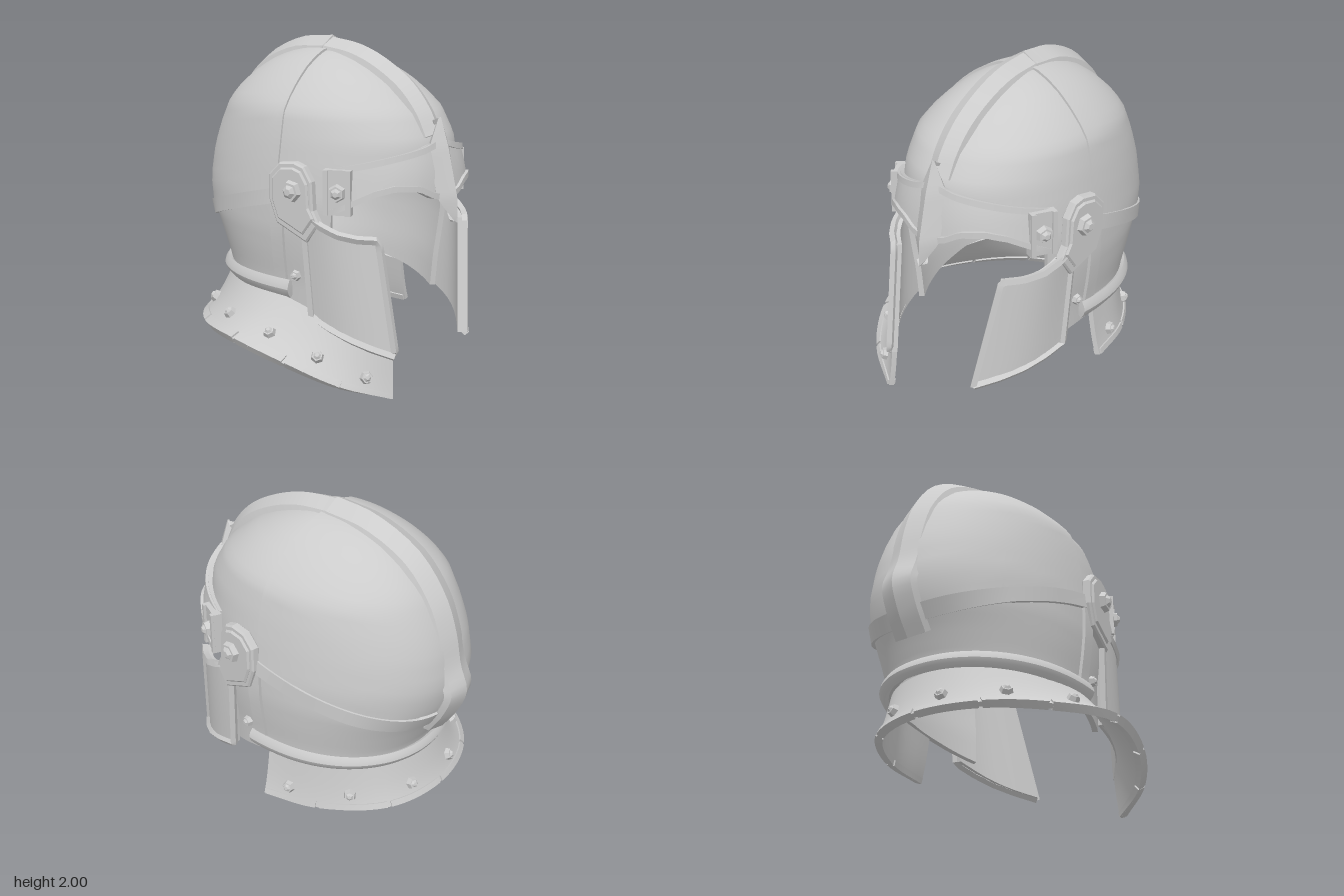
import * as THREE from 'three';
import { toCreasedNormals } from 'three/addons/utils/BufferGeometryUtils.js';

const CX = 0.09; // middle plane of the helmet
const V = (x, y, z) => new THREE.Vector3(x, y, z);
const rad = THREE.MathUtils.degToRad;
const mat = new THREE.MeshStandardMaterial({ color: 0xcccccc, side: THREE.DoubleSide });

// linear lookup in rows sorted by their first value; returns column k
function look(rows, t, k = 1) {
  if (t <= rows[0][0]) return rows[0][k];
  for (let i = 1; i < rows.length; i++) {
    const a = rows[i - 1], b = rows[i];
    if (t <= b[0]) return a[k] + (b[k] - a[k]) * (t - a[0]) / (b[0] - a[0]);
  }
  return rows[rows.length - 1][k];
}

function normalAt(f, u, v) {
  const e = 0.001, c = THREE.MathUtils.clamp;
  u = c(u, 2 * e, 1 - 2 * e); v = c(v, 2 * e, 1 - 2 * e);
  const du = f(u + e, v).sub(f(u - e, v)), dv = f(u, v + e).sub(f(u, v - e));
  return du.cross(dv).normalize();
}

function mesh(group, name, geo) {
  const m = new THREE.Mesh(geo, mat);
  m.name = name;
  group.add(m);
  return m;
}

// thick curved plate over f(u, v), with closed edges
function plate(group, name, f, nu, nv, t, crease = 0.5) {
  const pos = [], idx = [], n = (nu + 1) * (nv + 1);
  for (const d of [0, t]) for (let j = 0; j <= nv; j++) for (let i = 0; i <= nu; i++) {
    const u = i / nu, v = j / nv;
    const p = f(u, v).addScaledVector(normalAt(f, u, v), -d);
    pos.push(p.x, p.y, p.z);
  }
  const id = (i, j) => j * (nu + 1) + i;
  const quad = (a, b, c, d) => idx.push(a, b, c, a, c, d);
  for (let j = 0; j < nv; j++) for (let i = 0; i < nu; i++) {
    const a = id(i, j), b = id(i + 1, j), c = id(i + 1, j + 1), d = id(i, j + 1);
    quad(a, b, c, d);
    quad(n + a, n + d, n + c, n + b);
  }
  const wall = (a, b) => quad(a, n + a, n + b, b);
  for (let i = 0; i < nu; i++) { wall(id(i, 0), id(i + 1, 0)); wall(id(i + 1, nv), id(i, nv)); }
  for (let j = 0; j < nv; j++) { wall(id(nu, j), id(nu, j + 1)); wall(id(0, j + 1), id(0, j)); }
  const g = new THREE.BufferGeometry();
  g.setAttribute('position', new THREE.Float32BufferAttribute(pos, 3));
  g.setIndex(idx);
  return mesh(group, name, toCreasedNormals(g, crease));
}

// skull section: height, half width, front depth, back depth
const skull = [
  [0.40, 0.56, 0.72, 0.66], [0.62, 0.575, 0.74, 0.69], [0.78, 0.60, 0.76, 0.76], [0.92, 0.615, 0.78, 0.84],
  [1.10, 0.615, 0.79, 0.87], [1.30, 0.59, 0.79, 0.84], [1.45, 0.565, 0.77, 0.785], [1.60, 0.53, 0.68, 0.71],
  [1.68, 0.47, 0.59, 0.64], [1.76, 0.39, 0.49, 0.55], [1.83, 0.30, 0.36, 0.44], [1.88, 0.21, 0.24, 0.32],
  [1.915, 0.12, 0.12, 0.18], [1.93, 0, 0, 0]];

// point on the skull: angle in degrees from the front towards +x, height, offset
function S(a, y, off = 0) {
  const s = Math.sin(rad(a)), c = Math.cos(rad(a)), p = q => Math.sign(q) * Math.abs(q) ** 0.94;
  const lift = off * Math.max(0, (y - 1.5) / 0.43);
  return V(CX + (look(skull, y) + off) * p(s), y + lift, (look(skull, y, c > 0 ? 2 : 3) + off) * p(c));
}
const band = (a0, a1, lo, hi, off) => (u, v) => {
  const a = a0 + (a1 - a0) * u;
  return S(a, lo(a) + (hi(a) - lo(a)) * v, typeof off === 'number' ? off : off(v));
};

// faceted bolt standing on a surface
function bolt(group, name, p, n, r, h) {
  const g = new THREE.Group();
  g.name = name;
  mesh(g, 'boltHead', toCreasedNormals(new THREE.CylinderGeometry(r * 0.8, r, h, 6), 0.3)).position.y = h / 2;
  mesh(g, 'boltTip', toCreasedNormals(new THREE.CylinderGeometry(r * 0.3, r * 0.6, h * 0.4, 6), 0.3)).position.y = h * 1.2;
  g.position.copy(p);
  g.quaternion.setFromUnitVectors(V(0, 1, 0), n);
  group.add(g);
}

function trim(group, name, pts, r) {
  const path = new THREE.CurvePath();
  for (let i = 1; i < pts.length; i++) path.add(new THREE.LineCurve3(pts[i - 1], pts[i]));
  mesh(group, name, toCreasedNormals(new THREE.TubeGeometry(path, (pts.length - 1) * 4, r, 4), 0.5));
}

export function createModel() {
  const model = new THREE.Group();
  model.name = 'helmet';

  // skull cap, and the lower wall that leaves the face open
  const dome = (a0, a1, lo, off) => (u, v) => {
    const a = a0 + (a1 - a0) * u, b = lo(a);
    return S(a, b + (1.93 - b) * Math.sin(v * Math.PI / 2), off);
  };
  const beltTop = a => 1.15 + 0.25 * Math.cos(rad(a));
  plate(model, 'skullCap', dome(-180, 180, () => 1.2, 0), 96, 24, 0.035);
  plate(model, 'rearSkull', dome(84, 276, a => beltTop(a) - 0.03, 0.012), 60, 22, 0.03);
  const wallLow = a => look([[0, 0.58], [80, 0.54], [100, 0.49], [124, 0.42]], Math.abs(180 - a));
  plate(model, 'lowerWall', band(57, 303, wallLow, () => 1.21, 0), 80, 14, 0.035);

  // belt, side straps and rolled neck rim
  plate(model, 'belt', band(84, 276, a => beltTop(a) - 0.09, beltTop, 0.024), 64, 1, 0.035);
  for (const s of [1, -1]) {
    plate(model, 'sideStrap', band(s * 83 - 3, s * 83 + 3, () => 0.56, () => 1.13, 0.02), 2, 8, 0.03);
    bolt(model, 'strapRivet', S(s * 75, 0.66, 0), V(s, 0, 0.25).normalize(), 0.035, 0.03);
  }
  const roll = v => 0.02 + 0.03 * Math.sin(v * Math.PI);
  plate(model, 'neckRim', band(78, 282, a => 0.52 - 0.02 * Math.cos(rad(a)), () => 0.63, roll), 64, 4, 0.06);

  // two-piece crest over the top; depth fades from d0 to d1 along it
  const crest = (name, pts, h0, h1, d0, d1) => {
    const curve = new THREE.CatmullRomCurve3(pts.map(([z, y]) => V(CX, y, z)));
    const across = [[0, -1, 1], [0.25, -0.85, 0.5], [0.5, 0, 0], [0.75, 0.85, 0.5], [1, 1, 1]];
    plate(model, name, (u, v) => {
      const t = curve.getTangent(v), p = curve.getPoint(v), n = V(0, -t.z, t.y);
      p.x += look(across, u) * (h0 + (h1 - h0) * v);
      return p.addScaledVector(n, -(d0 + (d1 - d0) * v) * look(across, u, 2));
    }, 4, 28, 0.02, 0.35);
  };
  crest('frontCrest', [[0.80, 1.5], [0.73, 1.63], [0.6, 1.77], [0.4, 1.89], [0.2, 1.96], [-0.04, 1.99]],
    0.085, 0.11, 0.09, 0.09);
  crest('backCrest', [[-0.03, 2.0], [-0.3, 1.97], [-0.6, 1.83], [-0.78, 1.61], [-0.86, 1.4], [-0.9, 1.2],
    [-0.95, 1.04], [-0.89, 0.87], [-0.8, 0.73]], 0.115, 0.13, 0.115, 0.06);

  // brow band with raised edges
  const browLow = a => look([[0, 1.12], [8, 1.14], [16, 1.19], [28, 1.2], [38, 1.17], [48, 1.11], [58, 1.05]], Math.abs(a));
  const browTop = a => look([[0, 1.47], [12, 1.43], [30, 1.39], [58, 1.32]], Math.abs(a));
  const flare = a => 1 - 0.4 * Math.min(1, Math.abs(a) / 58);
  const brow = (lo, hi, o0, o1) => (u, v) => {
    const a = -58 + 116 * u;
    return S(a, lo(a) + (hi(a) - lo(a)) * v, (o0 + (o1 - o0) * v) * flare(a));
  };
  plate(model, 'browBand', brow(browLow, browTop, 0.07, 0.035), 40, 4, 0.04);
  plate(model, 'browUpperEdge', brow(a => browTop(a) - 0.035, browTop, 0.055, 0.055), 40, 1, 0.03);
  plate(model, 'browLowerEdge', brow(browLow, a => browLow(a) + 0.035, 0.085, 0.085), 40, 1, 0.04);

  // ridged nose guard: height, half width, ridge z, side z
  const nose = [[1.0, 0.004, 0.945, 0.93], [1.14, 0.085, 0.94, 0.86], [1.42, 0.09, 0.87, 0.80], [1.59, 0.008, 0.81, 0.8]];
  plate(model, 'noseGuard', (u, v) => {
    const y = 1 + 0.59 * v, k = Math.abs(2 * u - 1);
    const ridge = look(nose, y, 2), side = look(nose, y, 3);
    return V(CX + (2 * u - 1) * look(nose, y), y, ridge + (side - ridge) * k);
  }, 2, 16, 0.05, 0.3);

  for (const s of [1, -1]) {
    // cheek plate with a raised frame
    const X = d => CX + s * d;
    const topF = s > 0 ? V(0.48, 0.92, 0.7) : V(-0.31, 0.92, 0.7);
    const botF = s > 0 ? V(0.36, 0.25, 0.81) : V(-0.28, 0.25, 0.81);
    const topB = V(X(0.597), 1.05, 0.3), botB = V(X(0.567), 0.43, 0.34);
    const cheek = (u, v) => {
      const w = s > 0 ? u : 1 - u;
      const p = botF.clone().lerp(botB, w).lerp(topF.clone().lerp(topB, w), v);
      const k = Math.sin(w * Math.PI);
      p.x += s * 0.055 * k;
      p.y -= 0.035 * k * v;
      p.z += 0.02 * k;
      return p;
    };
    plate(model, 'cheekPlate', cheek, 8, 6, 0.045);
    const loop = [];
    for (const [u0, v0, u1, v1] of [[0, 0, 1, 0], [1, 0, 1, 1], [1, 1, 0, 1], [0, 1, 0, 0]])
      for (let i = 0; i < 4; i++) loop.push(cheek(u0 + (u1 - u0) * i / 4, v0 + (v1 - v0) * i / 4));
    trim(model, 'cheekFrame', [...loop, loop[0]], 0.024);

    // hinge plate at the ear, outlined as (z, y)
    const outline = [[0.36, 1.24], [0.31, 1.32], [0.25, 1.34], [0.15, 1.33], [0.08, 1.26], [0.08, 1.11], [0.13, 0.98],
      [0.33, 0.89], [0.41, 1.0], [0.37, 1.07]];
    const ear = (name, k, depth, out) => {
      const shape = new THREE.Shape(outline.map(([z, y]) => new THREE.Vector2((0.25 - z) * k, (y - 1.16) * k)));
      const g = new THREE.ExtrudeGeometry(shape, { depth, bevelSize: 0.01, bevelThickness: 0.01, bevelSegments: 1 });
      const m = mesh(model, name, g.translate(0, 0, -depth / 2));
      m.rotation.y = Math.PI / 2 - s * 0.18;
      m.position.set(X(out), 1.16, 0.25);
    };
    ear('hingePlate', 0.97, 0.035, 0.602);
    ear('hingeFace', 0.8, 0.025, 0.62);
    bolt(model, 'hingeBolt', V(X(0.63), 1.18, 0.25), V(s, 0, 0.2).normalize(), 0.07, 0.045);

    // bolted end plate of the brow band
    const end = mesh(model, 'browEndPlate', new THREE.BoxGeometry(0.16, 0.26, 0.05));
    const turn = 1.06, n = V(s * Math.sin(turn), 0, Math.cos(turn));
    end.position.copy(S(s * 54, 1.19, 0.028));
    end.rotation.y = s * turn;
    for (const d of [-0.065, 0.065]) {
      const bar = mesh(end, 'endPlateEdge', new THREE.BoxGeometry(0.028, 0.26, 0.025));
      bar.position.set(d, 0, 0.028);
    }
    bolt(model, 'browBolt', end.position.clone().addScaledVector(n, 0.02), n, 0.055, 0.04);
  }

  // flared neck guard: short on the left, sweeping to the front on the right
  const curveOf = pts => new THREE.CatmullRomCurve3(pts.map(p => V(...p)));
  const hem = curveOf([[0.73, 0.23, 0.05], [0.66, 0.24, -0.3], [0.42, 0.26, -0.66], [0.05, 0.27, -0.78], [-0.35, 0.27, -0.69],
    [-0.63, 0.28, -0.42], [-0.79, 0.3, 0], [-0.73, 0.22, 0.35], [-0.56, 0.1, 0.62], [-0.3, 0.005, 0.81]]);
  const collar = curveOf([[0.67, 0.51, 0.05], [0.61, 0.54, -0.3], [0.38, 0.55, -0.58], [0.05, 0.55, -0.68], [-0.2, 0.55, -0.61],
    [-0.43, 0.55, -0.3], [-0.495, 0.54, 0.05], [-0.47, 0.47, 0.35], [-0.41, 0.37, 0.6], [-0.28, 0.26, 0.79]]);
  const guard = (u, v) => {
    const p = hem.getPoint(u).lerp(collar.getPoint(u), v);
    p.y -= 0.03 * Math.sin(v * Math.PI);
    return p;
  };
  plate(model, 'neckGuard', guard, 54, 5, 0.03);
  const N = 9;
  for (let i = 0; i < N; i++) {
    const f = (u, v) => {
      const a = (i + 0.03 + u * 0.94) / N, w = 0.17 * v;
      return guard(a, w).addScaledVector(normalAt(guard, a, w), 0.01);
    };
    plate(model, 'guardHem', f, 6, 1, 0.05);
    const a = (i + 0.45) / N;
    bolt(model, 'guardRivet', guard(a, 0.42), normalAt(guard, a, 0.42), 0.04, 0.03);
  }
  return model;
}
